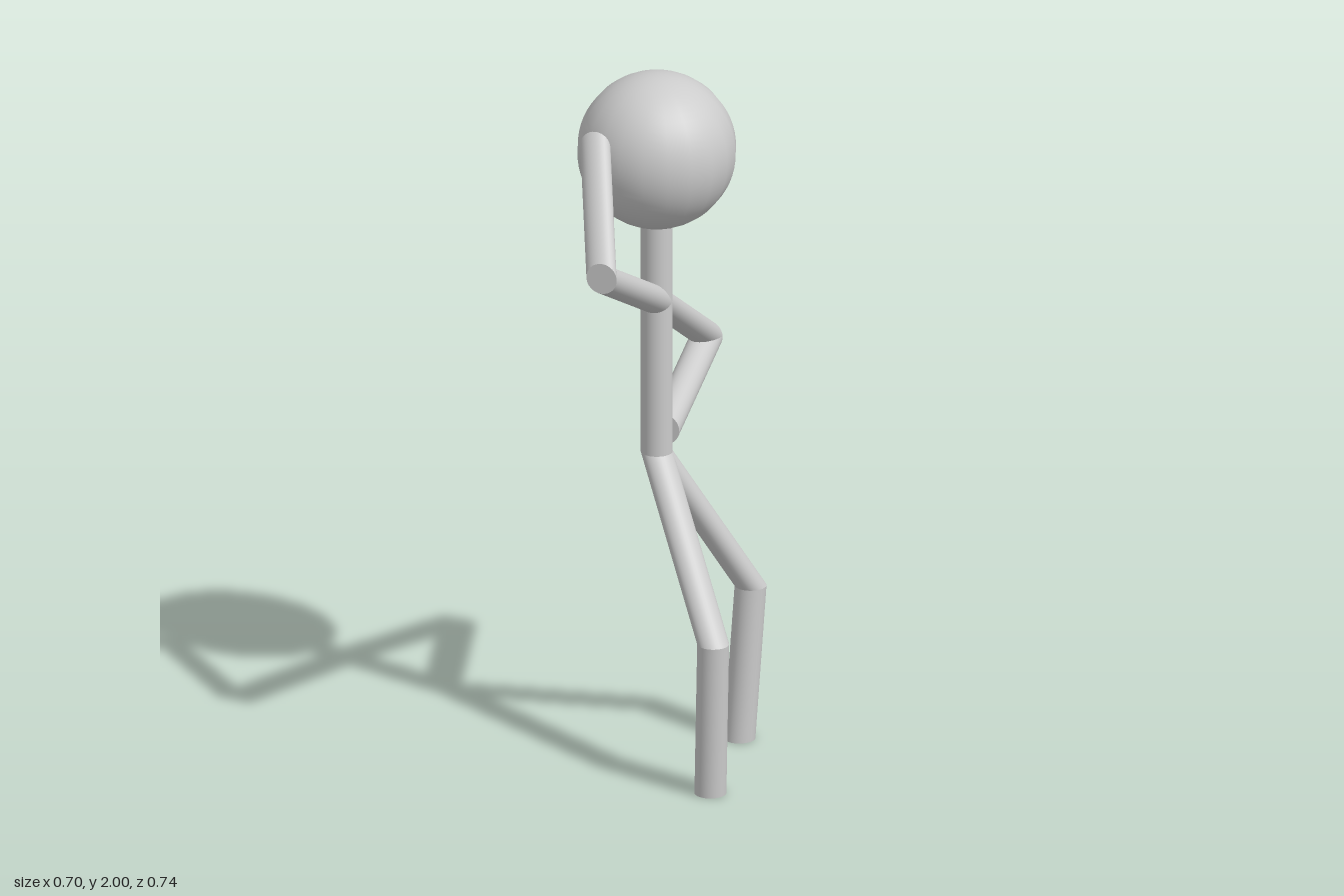
import * as THREE from 'three';

const R = 0.044; // limb radius
const CX = 0.01, CZ = -0.025; // body axis

const material = new THREE.MeshStandardMaterial({ color: 0xcccccc, side: THREE.DoubleSide });

// Sheared cylinder from a to b whose end circles both lie square to `normal`
function limbSegment(name, a, b, normal) {
  const start = new THREE.Vector3(...a);
  const along = new THREE.Vector3(...b).sub(start);
  const n = new THREE.Vector3(...normal).normalize();
  if (n.dot(along) < 0) n.negate();
  const u = Math.abs(n.y) > 0.9
    ? new THREE.Vector3(1, 0, 0)
    : new THREE.Vector3(0, 1, 0);
  const v = new THREE.Vector3().crossVectors(u, n);
  const geometry = new THREE.CylinderGeometry(R, R, 1, 32);
  geometry.translate(0, 0.5, 0);
  geometry.applyMatrix4(new THREE.Matrix4().makeBasis(u, along, v).setPosition(start));
  const mesh = new THREE.Mesh(geometry, material);
  mesh.name = name;
  return mesh;
}

// Two-part limb bent at its middle joint
function limb(name, parts, points, normal) {
  const group = new THREE.Group();
  group.name = name;
  parts.forEach((part, i) => group.add(limbSegment(part, points[i], points[i + 1], normal)));
  return group;
}

export function createModel() {
  const model = new THREE.Group();
  model.name = 'stickFigure';

  // Head
  const head = new THREE.Mesh(new THREE.SphereGeometry(0.22, 20, 32), material);
  head.name = 'head';
  head.position.set(CX, 1.78, CZ);
  model.add(head);

  // Torso and neck in one straight rod
  model.add(limbSegment('torso', [CX, 0.89, CZ], [CX, 1.62, CZ], [0, 1, 0]));

  // Legs, cut level at hip, knee and foot
  const hip = [CX, 0.89, CZ];
  const up = [0, 1, 0];
  const legParts = ['thigh', 'shin'];
  model.add(limb('leftLeg', legParts, [hip, [0.297, 0.445, CZ], [0.263, 0, CZ]], up));
  model.add(limb('frontLeg', legParts, [hip, [CX, 0.445, 0.327], [CX, 0, 0.31]], up));

  // Arms, cut on upright diagonal planes
  const shoulder = [CX, 1.335, CZ];
  const diagonal = [1, 0, -1];
  const armParts = ['upperArm', 'forearm'];
  model.add(limb('rightArm', armParts, [shoulder, [-0.322, 1.573, 0.308], [-0.205, 1.845, 0.031]], diagonal));
  model.add(limb('leftArm', armParts, [shoulder, [0.319, 1.068, -0.339], [0.035, 0.948, -0.03]], diagonal));

  return model;
}
